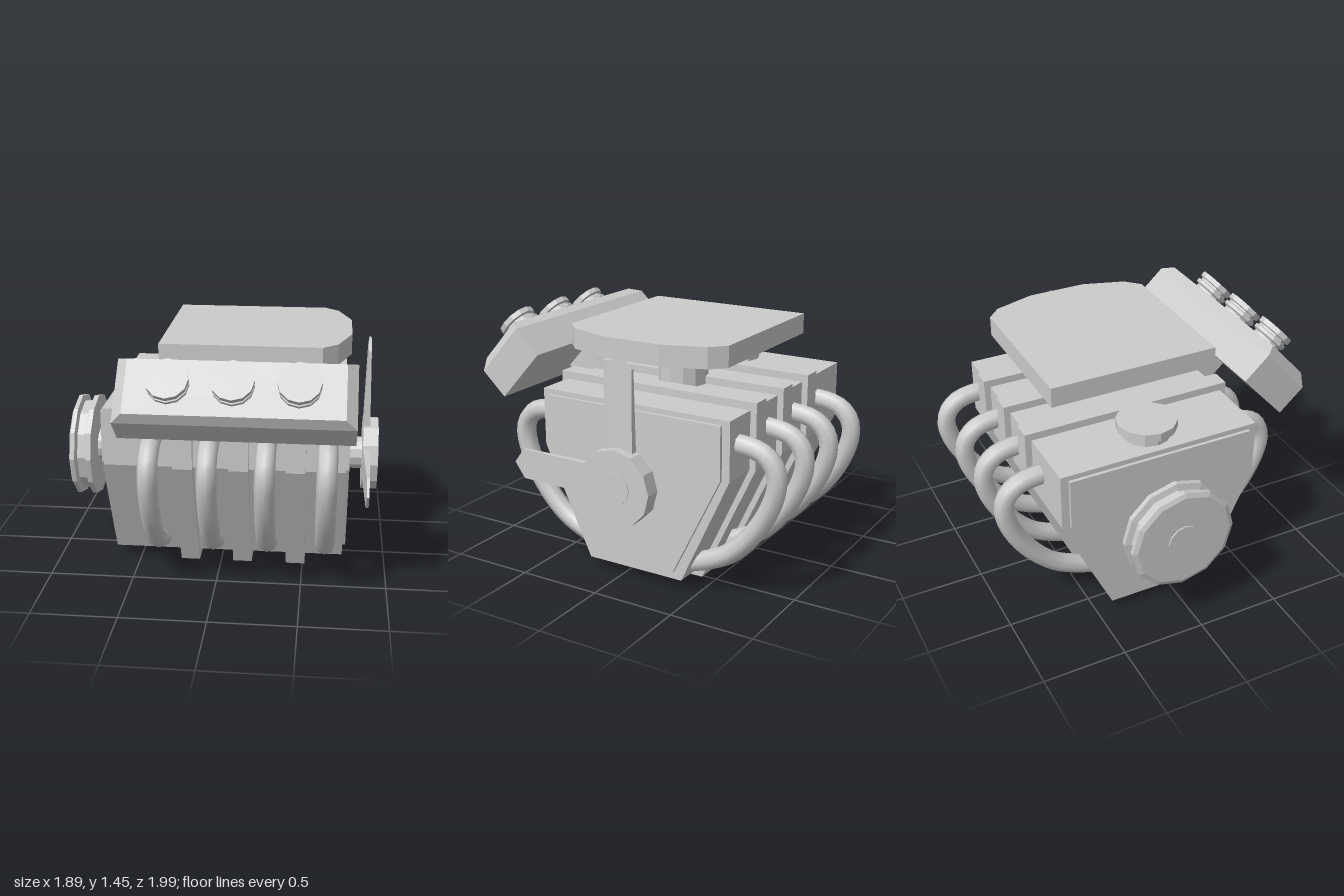
import * as THREE from 'three';

const flat = new THREE.MeshStandardMaterial({ color: 0xcccccc, flatShading: true });
const smooth = new THREE.MeshStandardMaterial({ color: 0xcccccc });
const AXIS_Z = -0.1; // the block is symmetric about this z
const AXIS_Y = 0.627; // crankshaft height

export function createModel() {
  const root = new THREE.Group();
  root.name = 'engine';

  const add = (name, geometry, parent = root, material = flat) => {
    const mesh = new THREE.Mesh(geometry, material);
    mesh.name = name;
    parent.add(mesh);
    return mesh;
  };
  const toShape = (pts) => new THREE.Shape(pts.map(([x, y]) => new THREE.Vector2(x, y)));

  // V-shaped cross-section extruded along x
  const block = (name, x0, x1, wTop, yTop, wBot, yBot) => {
    const shape = toShape([[-wBot, yBot], [wBot, yBot], [wTop, 0.72], [wTop, yTop], [-wTop, yTop], [-wTop, 0.72]]);
    const g = new THREE.ExtrudeGeometry(shape, { depth: x1 - x0, bevelEnabled: false });
    g.translate(0, 0, -(x1 - x0) / 2).rotateY(-Math.PI / 2).translate((x0 + x1) / 2, 0, AXIS_Z);
    return add(name, g);
  };
  block('engineBlock', -0.65, 0.74, 0.61, 1.06, 0.31, 0.07);
  block('endPlates', -0.67, 0.76, 0.563, 1.03, 0.265, 0.115);
  for (const x of [-0.19, 0.132, 0.457]) block('blockRib', x - 0.057, x + 0.057, 0.648, 1.105, 0.315, 0);

  // Turned parts: profile of [radius, height]
  const turned = (pts) => new THREE.LatheGeometry(pts.map(([r, h]) => new THREE.Vector2(r, h)), 12);

  // Pulley and fan hub on the crank axis (profile height runs along x)
  const onCrank = (name, pts) =>
    add(name, turned(pts).rotateZ(-Math.PI / 2).translate(0, AXIS_Y, AXIS_Z));
  onCrank('crankshaft', [[0, -0.945], [0.1, -0.945], [0.1, 0.942], [0, 0.942]]);
  onCrank('pulley', [[0, -0.937], [0.29, -0.937], [0.317, -0.925], [0.317, -0.9], [0.28, -0.89],
    [0.28, -0.84], [0.317, -0.83], [0.317, -0.8], [0, -0.8]]);
  onCrank('fanHub', [[0, 0.845], [0.225, 0.845], [0.225, 0.937], [0, 0.937]]);

  // Two fan blades, thinning toward a pointed tip
  const bladeShape = toShape([[-0.09, 0], [0.09, 0], [0.09, 0.67], [0, 0.737], [-0.09, 0.67]]);
  for (const angle of [0, Math.PI / 2]) {
    const g = new THREE.ExtrudeGeometry(bladeShape, { depth: 1, bevelEnabled: false });
    const p = g.attributes.position;
    for (let i = 0; i < p.count; i++) {
      const half = THREE.MathUtils.lerp(0.025, 0.007, p.getY(i) / 0.737);
      p.setZ(i, (p.getZ(i) - 0.5) * 2 * half);
    }
    g.rotateY(-Math.PI / 2).rotateX(angle).translate(0.866, AXIS_Y, AXIS_Z);
    g.computeVertexNormals();
    add('fanBlade', g);
  }

  // Exhaust pipes, four on each side
  const pipePath = [[0.48, 0.905], [0.56, 0.9], [0.65, 0.877], [0.715, 0.82], [0.74, 0.74], [0.715, 0.61],
    [0.615, 0.42], [0.465, 0.26], [0.325, 0.185], [0.18, 0.135]];
  for (const x of [-0.36, -0.03, 0.293, 0.635]) {
    for (const side of [1, -1]) {
      const curve = new THREE.CatmullRomCurve3(
        pipePath.map(([z, y]) => new THREE.Vector3(x, y, AXIS_Z + side * (z - AXIS_Z))));
      add(side > 0 ? 'frontExhaustPipe' : 'backExhaustPipe',
        new THREE.TubeGeometry(curve, 28, 0.058, 8), root, smooth);
    }
  }

  // Air filter plate with a rounded end, on its neck
  const plate = toShape([[-0.335, -0.615], [0.59, -0.615], [0.675, -0.535], [0.755, -0.285],
    [0.755, 0.075], [0.675, 0.325], [0.59, 0.41], [-0.335, 0.41]]);
  add('airFilter', new THREE.ExtrudeGeometry(plate, { depth: 0.12, bevelEnabled: false })
    .rotateX(Math.PI / 2).translate(0, 1.42, 0));
  add('airFilterNeck', new THREE.CylinderGeometry(0.147, 0.147, 0.28, 12).translate(0.2, 1.17, AXIS_Z));

  // Filler cap on top of the block
  add('fillerCap', turned([[0, 1.03], [0.14, 1.03], [0.14, 1.11], [0.176, 1.11], [0.176, 1.16], [0, 1.16]])
    .translate(-0.465, 0, AXIS_Z));

  // Tilted intake box; in its own frame +z points outward from the block
  const intake = new THREE.Group();
  intake.name = 'intake';
  intake.position.set(0.135, 1.12, 0.64);
  intake.rotation.x = -THREE.MathUtils.degToRad(42.5);
  root.add(intake);

  add('intakeBox', new THREE.BoxGeometry(1.3, 0.385, 0.2).translate(0, 0, 0.1), intake);
  const lip = new THREE.BoxGeometry(1.3, 0.385, 0.06);
  const lp = lip.attributes.position;
  for (let i = 0; i < lp.count; i++) {
    if (lp.getZ(i) > 0) lp.setXY(i, lp.getX(i) * (0.59 / 0.65), lp.getY(i) * (0.163 / 0.1925));
  }
  add('intakeBevel', lip.translate(0, 0, 0.23), intake);
  add('intakeStem', new THREE.BoxGeometry(0.205, 0.18, 0.24).translate(0, 0, -0.11), intake);

  // Three grooved intake caps
  for (const x of [-0.35, -0.005, 0.345]) {
    add('intakeCap', turned([[0, -0.01], [0.095, -0.01], [0.095, 0.02], [0.115, 0.03], [0.115, 0.05],
      [0.1, 0.055], [0.1, 0.068], [0.117, 0.073], [0.117, 0.105], [0, 0.105]])
      .rotateX(Math.PI / 2).translate(x, 0, 0.26), intake);
  }
  return root;
}
